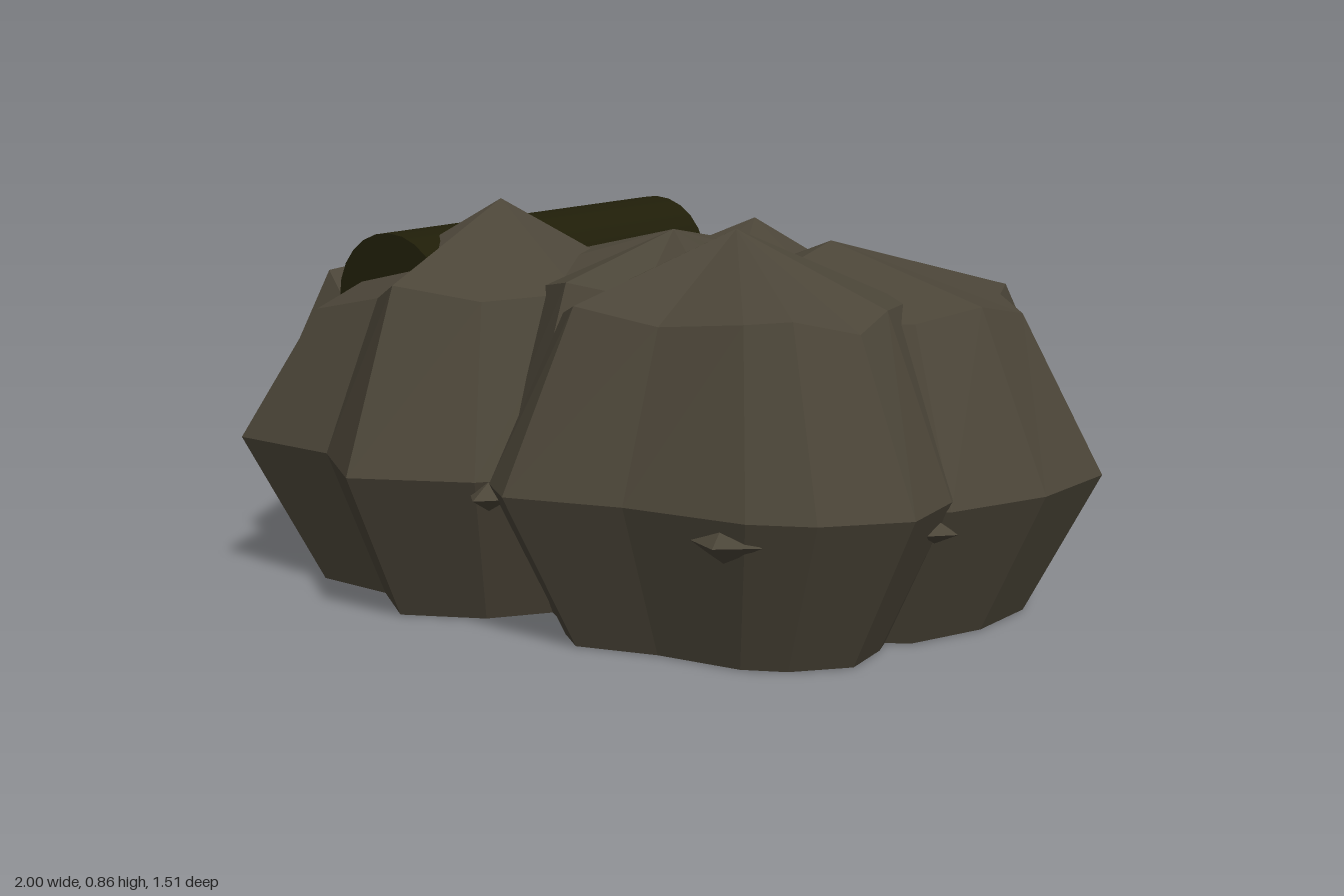
import * as THREE from 'three';

const rockMat = new THREE.MeshStandardMaterial({ color: 0x4b4538 });
rockMat.name = 'earthBrown';
const logMat = new THREE.MeshStandardMaterial({ color: 0x201e09 });
logMat.name = 'darkOlive';

// Faceted mound: base ring, wide belt, shoulder ring and apex.
// Belt points are [x, z] with an optional shoulder height of their own.
function mound(name, cx, cz, belt, { mid = 0.33, shoulder = 0.68, apex = 0.8, base = 0.7, taper = 0.7 } = {}) {
  const pts = belt
    .map(([x, z, top = shoulder]) => [x - cx, z - cz, top])
    .sort((a, b) => Math.atan2(a[1], a[0]) - Math.atan2(b[1], b[0]));
  const n = pts.length;
  const pos = [];
  const ring = (scale, height) => pts.forEach(([x, z, top], i) =>
    pos.push(cx + x * scale, height(top, i), cz + z * scale));
  ring(base, () => 0);
  ring(1, () => mid);
  ring(taper, (top, i) => top + 0.018 * Math.sin(i * 2.3 + cx * 9));
  pos.push(cx, 0, cz, cx, apex, cz);
  const idx = [];
  for (let i = 0; i < n; i++) {
    const j = (i + 1) % n;
    for (let r = 0; r < 2; r++) {
      const a = r * n + i, b = r * n + j;
      idx.push(a, a + n, b, b, a + n, b + n);
    }
    idx.push(3 * n, i, j);
    idx.push(2 * n + i, 3 * n + 1, 2 * n + j);
  }
  let geo = new THREE.BufferGeometry();
  geo.setAttribute('position', new THREE.Float32BufferAttribute(pos, 3));
  geo.setIndex(idx);
  geo = geo.toNonIndexed();
  geo.computeVertexNormals();
  const mesh = new THREE.Mesh(geo, rockMat);
  mesh.name = name;
  return mesh;
}

// Star-shaped belt outline with alternating radii
function starBelt(cx, cz, count, outer, inner) {
  return Array.from({ length: count }, (_, i) => {
    const a = (i / count) * Math.PI * 2, r = i % 2 ? inner : outer;
    return [cx + r * Math.cos(a), cz + r * Math.sin(a)];
  });
}

// Round log lying along z
function log(name, x, y, z0, z1, radius) {
  const geo = new THREE.CylinderGeometry(radius, radius, z1 - z0, 24);
  geo.rotateX(Math.PI / 2);
  const mesh = new THREE.Mesh(geo, logMat);
  mesh.name = name;
  mesh.position.set(x, y, (z0 + z1) / 2);
  return mesh;
}

// Small pointed chip of rock poking out of a face
function chip(x, y, z, w, h, turn) {
  const geo = new THREE.OctahedronGeometry(1, 0);
  geo.scale(w, h, 0.05);
  const mesh = new THREE.Mesh(geo, rockMat);
  mesh.name = 'rockChip';
  mesh.position.set(x, y, z);
  mesh.rotation.y = turn;
  return mesh;
}

export function createModel() {
  const model = new THREE.Group();
  model.name = 'rockPileWithLogs';

  model.add(
    mound('frontRightRock', -0.22, 0.24, [
      [-0.22, 0.75], [-0.41, 0.61, 0.67], [-0.68, 0.6, 0.62], [-0.75, 0.41, 0.61], [-0.74, 0.24, 0.62],
      [-0.62, 0, 0.62], [-0.45, -0.12, 0.62], [-0.22, -0.22], [0.05, -0.1], [0.2, 0.1], [0.2, 0.4], [0.02, 0.63],
    ], { apex: 0.86, shoulder: 0.69 }),
    mound('frontLeftRock', 0.38, 0.22, [
      [0.14, 0.69], [0.38, 0.62], [0.64, 0.59], [0.76, 0.53], [0.89, 0.39], [0.88, 0.22],
      [0.8, -0.05], [0.6, -0.25], [0.38, -0.3], [0.1, -0.2], [-0.05, 0.1], [-0.02, 0.45], [0.05, 0.62],
    ], { apex: 0.83 }),
    mound('rightRock', -0.54, 0.05, [
      [-1, 0.05], [-0.92, 0.2], [-0.83, 0.39], [-0.72, 0.43, 0.62], [-0.5, 0.45, 0.6], [-0.2, 0.3, 0.6],
      [-0.1, 0.05, 0.6], [-0.2, -0.25, 0.6], [-0.5, -0.35, 0.6], [-0.78, -0.3, 0.6], [-0.95, -0.2, 0.61],
    ], { mid: 0.31, shoulder: 0.65, apex: 0.72, taper: 0.63 }),
    mound('backRightRock', -0.55, -0.36, [
      [-0.95, -0.2], [-0.98, -0.53], [-0.9, -0.67], [-0.71, -0.73], [-0.35, -0.73], [-0.24, -0.72],
      [-0.1, -0.4], [-0.2, -0.15], [-0.5, 0], [-0.8, -0.05],
    ], { mid: 0.27, shoulder: 0.56, apex: 0.63, base: 0.74, taper: 0.74 }),
    mound('backRock', 0.15, -0.22, [
      [-0.3, -0.66], [-0.2, -0.755], [-0.02, -0.76, 0.51], [0.17, -0.73, 0.47], [0.37, -0.64, 0.5], [0.58, -0.5],
      [0.66, -0.25, 0.65], [0.6, 0.05, 0.65], [0.35, 0.25, 0.65], [0.1, 0.3, 0.65], [-0.2, 0.15, 0.65],
      [-0.36, -0.1, 0.62], [-0.38, -0.4],
    ], { mid: 0.3, shoulder: 0.57, apex: 0.8 }),
    mound('leftRock', 0.43, -0.08, [
      [0.36, -0.6, 0.58], [0.58, -0.61], [0.8, -0.55], [0.87, -0.36], [1, -0.24], [0.98, 0], [0.88, 0.22],
      [0.6, 0.4], [0.35, 0.42], [0.05, 0.25], [-0.05, -0.1], [0.05, -0.45, 0.6],
    ], { mid: 0.31, shoulder: 0.66, apex: 0.78, base: 0.74 }),
    // Jagged stones filling the gaps between the large rocks
    mound('middleRock', 0.13, 0.08, starBelt(0.13, 0.08, 16, 0.55, 0.46), { shoulder: 0.71, apex: 0.8 }),
    mound('backFillerRock', -0.3, -0.4, starBelt(-0.3, -0.4, 12, 0.33, 0.3), { mid: 0.28, shoulder: 0.54, apex: 0.58 }),
  );

  // Logs caught between the rocks
  model.add(
    log('longLog', -0.38, 0.64, -0.59, 0.43, 0.15),
    log('upperBackLog', 0.26, 0.4, -0.59, 0, 0.15),
    log('lowerBackLog', 0.26, 0.15, -0.59, 0, 0.15),
  );

  // Dark ring showing under the pile
  const ring = new THREE.Mesh(new THREE.RingGeometry(0.22, 0.38, 20), logMat);
  ring.name = 'undersideRing';
  ring.rotation.x = Math.PI / 2;
  ring.position.set(-0.08, -0.002, 0.05);
  model.add(ring);

  // Chips on the front and left faces
  model.add(
    chip(0.58, 0.28, 0.57, 0.08, 0.04, 0.12),
    chip(0.04, 0.3, 0.61, 0.05, 0.03, 0),
    chip(0.85, 0.27, 0.23, 0.05, 0.025, Math.PI / 2),
  );
  return model;
}
